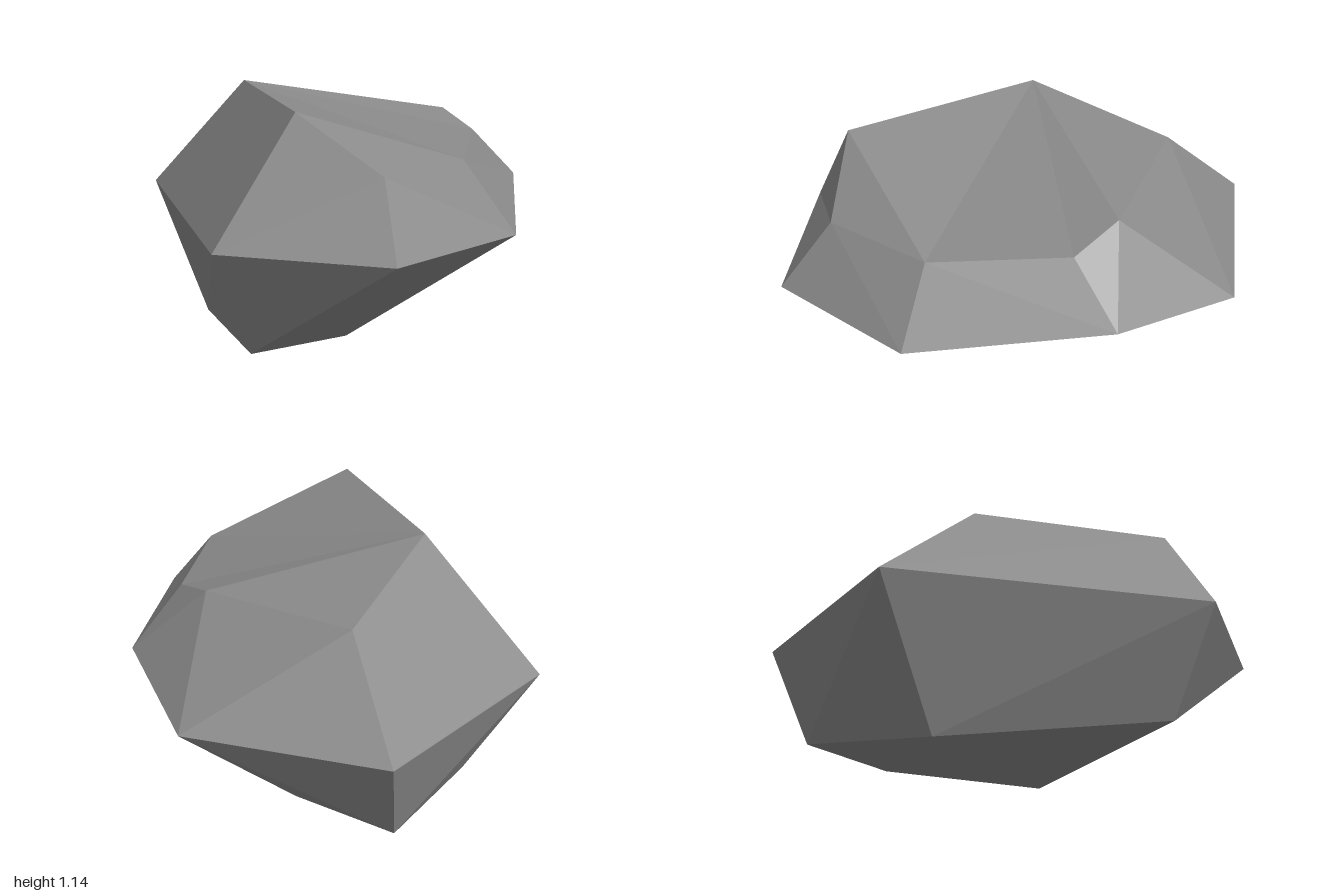
import * as THREE from 'three';

// Cross-section rings of the boulder, each running left, front, right, back
const waist = [
  [-0.96, 0.61, 0.12], [0.11, 0.61, 1.0], [0.78, 0.61, 0.78], [0.95, 0.61, 0.12],
  [0.6, 0.69, -0.65], [0.11, 0.61, -1.0], [-0.72, 0.61, -0.8],
];
const crown = [
  [-0.4, 1.14, 0.12], [0.28, 1.12, 0.69], [0.62, 0.89, 0.6], [0.71, 0.89, 0.12],
  [0.49, 0.92, -0.42], [0.28, 0.99, -0.53], [-0.4, 0.99, -0.53],
];
const base = [
  [-0.64, 0, 0.13], [0.11, 0.14, 0.77], [0.12, 0, 0.07],
  [-0.17, 0.145, -0.59], [-0.64, 0.14, -0.6],
];
const corners = [...waist, ...crown, ...base]; // waist 0-6, crown 7-13, base 14-18

// Facets as corner loops, each fanned from its first corner
const facets = [
  // sloping shoulder
  [0, 1, 8, 7], [1, 2, 9, 8], [9, 2, 3, 10], [10, 3, 4, 11],
  [4, 5, 12, 11], [5, 6, 13, 12], [6, 0, 7, 13],
  // top
  [7, 8, 10, 11, 12, 13], [8, 9, 10],
  // tapering lower sides
  [14, 15, 1, 0], [15, 2, 1], [16, 3, 2, 15], [16, 17, 4, 3],
  [17, 5, 4], [18, 6, 5, 17], [18, 14, 0, 6],
  // underside
  [14, 16, 15], [14, 18, 17, 16],
];

function facetedGeometry() {
  const positions = [];
  for (const loop of facets) {
    for (let i = 1; i < loop.length - 1; i++) {
      for (const k of [loop[0], loop[i], loop[i + 1]]) positions.push(...corners[k]);
    }
  }
  const geometry = new THREE.BufferGeometry();
  geometry.setAttribute('position', new THREE.Float32BufferAttribute(positions, 3));
  geometry.computeVertexNormals();
  return geometry;
}

export function createModel() {
  const stone = new THREE.MeshStandardMaterial({ color: 0x888888 });
  stone.name = 'grey stone';
  stone.flatShading = true;

  const boulder = new THREE.Mesh(facetedGeometry(), stone);
  boulder.name = 'boulder';

  const group = new THREE.Group();
  group.name = 'rock';
  group.add(boulder);
  return group;
}
